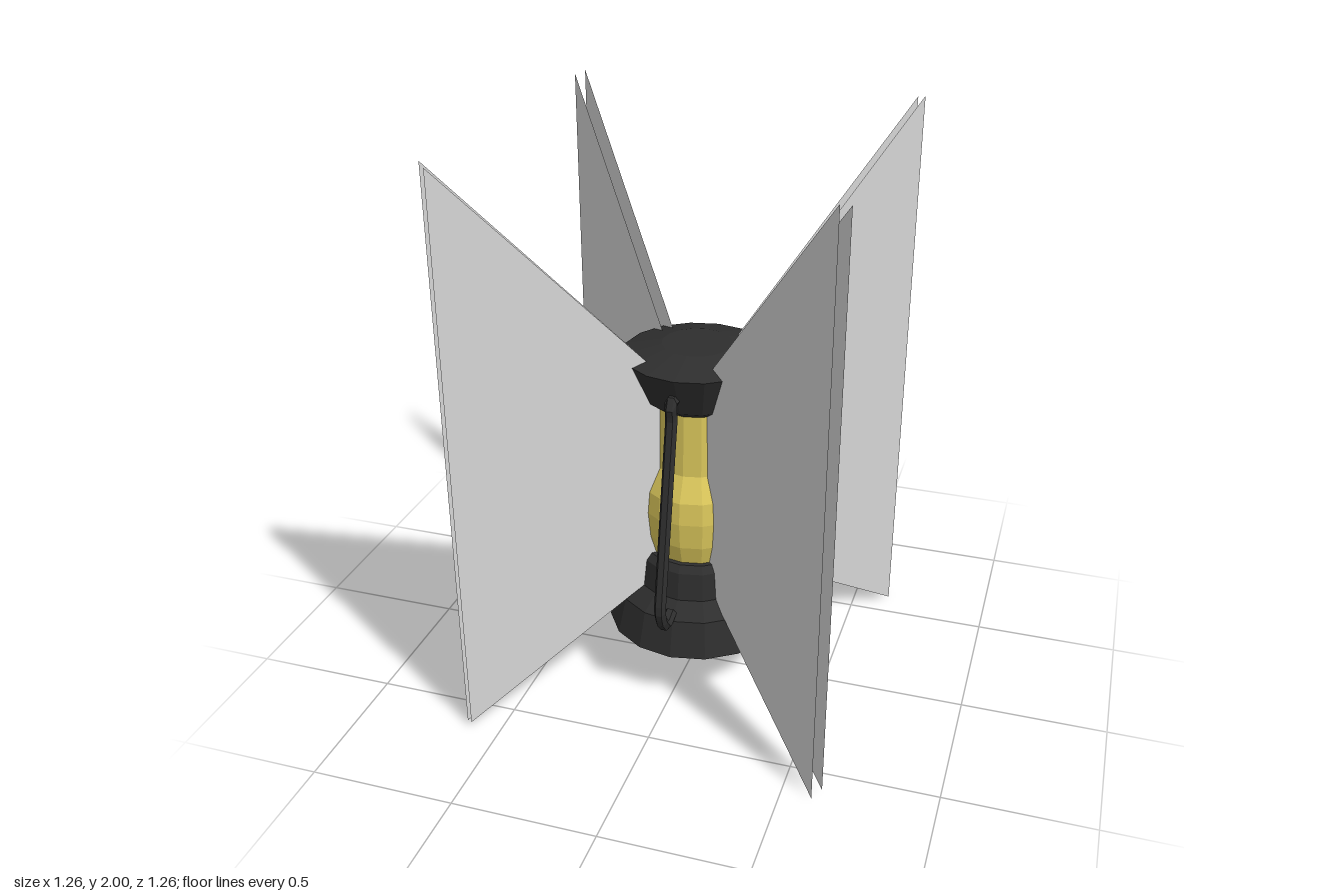
import * as THREE from 'three';

const make = (name, color) => {
  const m = new THREE.MeshStandardMaterial({ color, flatShading: true, side: THREE.DoubleSide });
  m.name = name;
  return m;
};

export function createModel() {
  const model = new THREE.Group();
  model.name = 'lantern';
  const dark = make('dark metal', 0x2e2e2e);
  const glow = make('yellow glass', 0xdcc85c);
  const pale = make('pale light', 0xd6d6d6);

  const add = (name, geometry, material, parent) => {
    const mesh = new THREE.Mesh(geometry, material);
    mesh.name = name;
    parent.add(mesh);
    return mesh;
  };

  // Body: sixteen-sided turned parts, slightly off the centre of the rays
  const body = new THREE.Group();
  body.name = 'body';
  body.position.set(0.0135, 0, -0.0135);
  model.add(body);
  const turn = (name, profile, material) =>
    add(name, new THREE.LatheGeometry(profile.map(p => new THREE.Vector2(...p)), 16), material, body);

  // Base is hollow underneath
  turn('base', [[0.315, 0.2], [0.285, 0.33], [0.225, 0.38], [0.213, 0.48], [0.193, 0.505], [0, 0.505]], dark);
  turn('glass', [[0.174, 0.5], [0.196, 0.575], [0.205, 0.67], [0.198, 0.75], [0.157, 0.835], [0.154, 1.065]], glow);
  turn('cap', [[0, 1.06], [0.155, 1.06], [0.19, 1.085], [0.255, 1.23], [0.12, 1.265], [0, 1.265]], dark);

  // Four bent side handles: heading, reach, height of the lowest point, sideways shift
  const handles = [
    ['leftHandle', Math.PI / 2, 0.437, 0.295, 0],
    ['rightHandle', -Math.PI / 2, 0.393, 0.32, 0],
    ['frontHandle', 0, 0.378, 0.33, -0.0135],
    ['backHandle', Math.PI, 0.407, 0.31, 0.0135],
  ];
  for (const [name, heading, reach, low, shift] of handles) {
    const path = new THREE.CurvePath();
    const points = [
      [0.17, 1.14], [0.25, 1.15], [reach - 0.14, 1.09], [reach, 0.43],
      [reach - 0.015, low + 0.05], [reach - 0.06, low], [0.26, low + 0.02],
    ].map(([r, y]) => new THREE.Vector3(shift, y, r));
    for (let i = 1; i < points.length; i++) path.add(new THREE.LineCurve3(points[i - 1], points[i]));
    const tube = new THREE.TubeGeometry(path, 40, 0.021, 6);
    add(name, tube, dark, body).rotation.y = heading;
  }

  // Light rays: a pair of flaring sheets along each diagonal
  const ray = (length, top, bottom) => {
    const s = new THREE.Shape();
    s.moveTo(0, 0.49);
    s.lineTo(length, bottom);
    s.lineTo(length, top);
    s.lineTo(0, 1.05);
    s.closePath();
    return new THREE.ShapeGeometry(s);
  };
  const sheets = [[0.02, 2, 0], [-0.02, 1.99, 0.02]];
  for (let i = 0; i < 4; i++) {
    const pair = new THREE.Group();
    pair.name = 'lightRay' + (i + 1);
    pair.rotation.y = Math.PI / 4 + i * Math.PI / 2;
    for (const [offset, top, bottom] of sheets)
      add('raySheet', ray(0.872, top, bottom), pale, pair).position.z = offset;
    model.add(pair);
  }
  return model;
}
